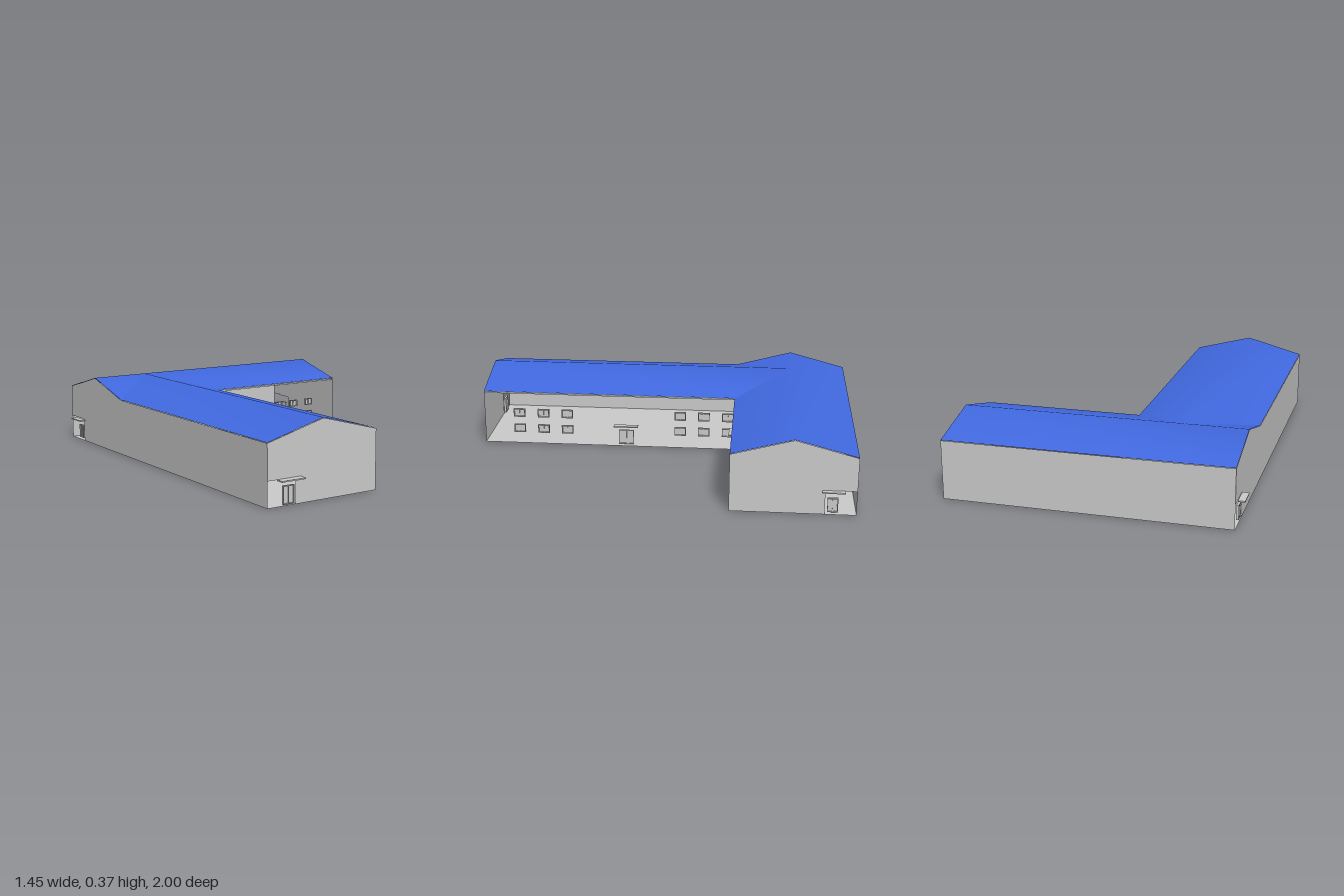
import * as THREE from 'three';

const HALF = 0.302, EAVE = 0.29, RIDGE = 0.37;
const grey = new THREE.MeshStandardMaterial({ color: 0xcccccc, side: THREE.DoubleSide });
const blue = new THREE.MeshStandardMaterial({ color: 0x4169e1, side: THREE.DoubleSide });

function add(parent, name, geometry, material, x = 0, y = 0, z = 0) {
  const mesh = new THREE.Mesh(geometry, material);
  mesh.name = name;
  mesh.position.set(x, y, z);
  parent.add(mesh);
  return mesh;
}

// Gable wall, optionally with an entrance opening at its lower left corner
function gableGeometry(openWidth) {
  const points = [[HALF, 0], [HALF, EAVE], [0, RIDGE], [-HALF, EAVE]];
  if (openWidth) points.push([-HALF, 0.122], [-HALF + openWidth, 0.122], [-HALF + openWidth, 0]);
  else points.push([-HALF, 0]);
  return new THREE.ShapeGeometry(new THREE.Shape(points.map(p => new THREE.Vector2(...p))));
}

// Pitched roof: three rows of vertices with a shared, softly shaded ridge
function roofGeometry(z0, z1) {
  const geometry = new THREE.PlaneGeometry(2 * HALF, z1 - z0, 2, 1);
  geometry.rotateX(-Math.PI / 2);
  geometry.translate(0, 0, (z0 + z1) / 2);
  const p = geometry.attributes.position;
  for (let i = 0; i < p.count; i++) {
    p.setY(i, RIDGE + 0.002 - (RIDGE - EAVE) * Math.abs(p.getX(i)) / HALF);
  }
  geometry.computeVertexNormals();
  return geometry;
}

// A wing runs along its own z; its courtyard side (+x) is open
function wing(name, z0, z1, openBack, openFront) {
  const group = new THREE.Group();
  group.name = name;
  const length = z1 - z0, mid = (z0 + z1) / 2;
  add(group, 'frontGable', gableGeometry(openFront), grey, 0, 0, z1);
  add(group, 'backGable', gableGeometry(openBack), grey, 0, 0, z0);
  const wall = new THREE.PlaneGeometry(length, EAVE).rotateY(-Math.PI / 2);
  add(group, 'outerWall', wall, grey, -HALF, EAVE / 2, mid);
  const floor = new THREE.PlaneGeometry(2 * HALF, length).rotateX(Math.PI / 2);
  add(group, 'floor', floor, grey, 0, 0, mid);
  add(group, 'roof', roofGeometry(z0, z1), blue);
  add(group, 'eaveTrim', new THREE.BoxGeometry(0.004, 0.008, length), grey, HALF - 0.002, EAVE - 0.004, mid);
  return group;
}

// Rectangular frame with a hole
function frameGeometry(w, h, border, depth) {
  const rect = (a, b) => [[-a, -b], [a, -b], [a, b], [-a, b]].map(p => new THREE.Vector2(...p));
  const shape = new THREE.Shape(rect(w / 2, h / 2));
  shape.holes.push(new THREE.Path(rect(w / 2 - border, h / 2 - border)));
  return new THREE.ExtrudeGeometry(shape, { depth, bevelEnabled: false }).translate(0, 0, -depth);
}

function fixture(name, x, y, z, turn) {
  const group = new THREE.Group();
  group.name = name;
  group.position.set(x, y, z);
  group.rotation.y = turn;
  return group;
}

function windowUnit(x, y, z, turn, w, h) {
  const group = fixture('window', x, y, z, turn);
  add(group, 'windowFrame', frameGeometry(w, h, 0.004, 0.014), grey);
  add(group, 'windowPane', new THREE.BoxGeometry(w - 0.006, h - 0.006, 0.003), grey, 0, 0, -0.01);
  add(group, 'mullion', new THREE.BoxGeometry(0.003, h - 0.008, 0.006), grey, 0, 0, -0.006);
  return group;
}

// Door with its canopy; the canopy may sit off the door's centre
function entrance(x, z, turn, w, y0, y1, canopyW, canopyD, canopyShift = 0, canopyY = 0.12) {
  const group = fixture('entrance', x, 0, z, turn);
  const h = y1 - y0, y = (y0 + y1) / 2;
  add(group, 'doorFrame', frameGeometry(w, h, 0.004, 0.012), grey, 0, y, 0);
  add(group, 'doorLeaf', new THREE.BoxGeometry(w - 0.006, h - 0.006, 0.004), grey, 0, y, -0.008);
  add(group, 'doorSplit', new THREE.BoxGeometry(0.003, h - 0.008, 0.005), grey, 0, y, -0.004);
  add(group, 'canopy', new THREE.BoxGeometry(canopyW, 0.006, canopyD), grey, canopyShift, canopyY, canopyD / 2);
  return group;
}

export function createModel() {
  const model = new THREE.Group();
  model.name = 'building';
  const right = Math.PI / 2;

  // Two wings forming an L
  const front = wing('frontWing', -0.7, 0.96, 0, 0.15);
  front.position.x = -0.395;
  const back = wing('backWing', -0.697, 0.697, 0.15, 0.15);
  back.rotation.y = -right;
  back.position.z = -0.698;
  model.add(front, back);

  // Courtyard windows of the back wing
  for (const x of [0.205, 0.31, 0.415, 0.523]) {
    for (const y of [0.096, 0.167]) model.add(windowUnit(x, y, -0.396, 0, 0.05, 0.036));
  }
  // Courtyard windows of the front wing
  for (const [zs, ys] of [[[0.77, 0.638, 0.508], [0.083, 0.172]], [[-0.107, -0.234, -0.363], [0.092, 0.178]]]) {
    for (const z of zs) for (const y of ys) model.add(windowUnit(-0.093, y, z, right, 0.062, 0.045));
  }

  // Entrances on both courtyard sides and on every gable
  model.add(
    entrance(-0.093, 0.185, right, 0.08, 0.012, 0.09, 0.13, 0.03),
    entrance(-0.044, -0.396, 0, 0.07, 0.02, 0.084, 0.105, 0.025),
    entrance(-0.582, 0.96, 0, 0.06, 0.005, 0.09, 0.127, 0.04),
    entrance(0.697, -0.887, right, 0.05, 0.012, 0.083, 0.107, 0.025, 0.002),
    entrance(-0.697, -0.887, -right, 0.05, 0.012, 0.083, 0.107, 0.033, -0.002, 0.115)
  );
  return model;
}
